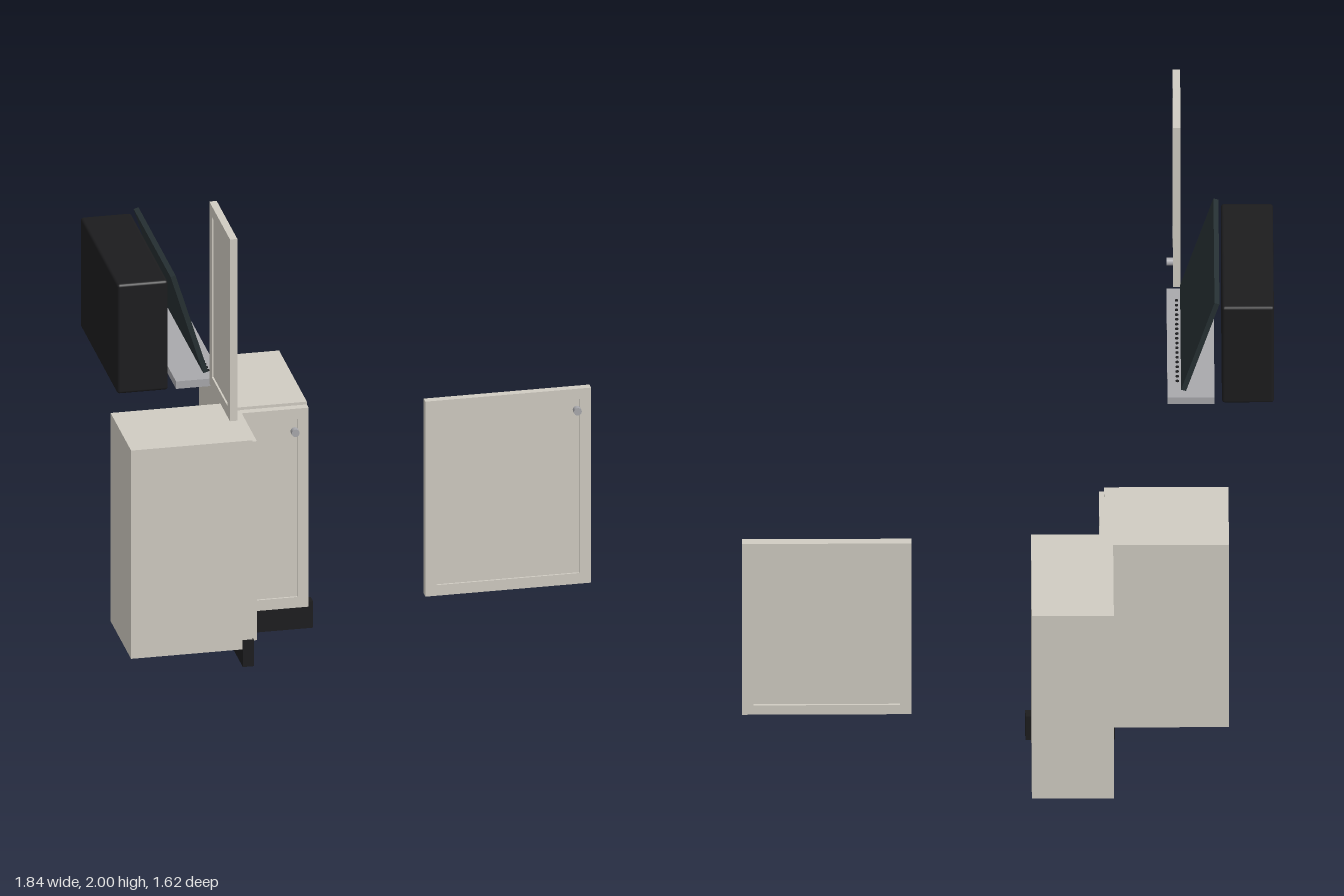
import * as THREE from 'three';
import { RoundedBoxGeometry } from 'three/addons/geometries/RoundedBoxGeometry.js';

const paint = (color) => new THREE.MeshStandardMaterial({ color });
const cream = paint(0xd0ccc2);
const black = paint(0x1c1c1e);
const glass = paint(0x263033);
const steel = paint(0xa8a8ac);

function add(parent, name, geometry, material, x = 0, y = 0, z = 0) {
  const mesh = new THREE.Mesh(geometry, material);
  mesh.name = name;
  mesh.position.set(x, y, z);
  parent.add(mesh);
  return mesh;
}

// Outline in plan [x, z], raised from y0 to y1
function planPrism(points, y0, y1) {
  const shape = new THREE.Shape(points.map(([x, z]) => new THREE.Vector2(x, -z)));
  return new THREE.ExtrudeGeometry(shape, { depth: y1 - y0, bevelEnabled: false })
    .rotateX(-Math.PI / 2).translate(0, y0, 0);
}

// Framed door centred on its origin, facing +z, with a recessed pane and a knob
function makeDoor(name, w, h, t, knobX, knobY) {
  const door = new THREE.Group();
  door.name = name;
  const rail = 0.04;
  const rect = (path, a, b) => path.moveTo(-a, -b).lineTo(a, -b).lineTo(a, b).lineTo(-a, b).closePath();
  const shape = rect(new THREE.Shape(), w / 2, h / 2);
  shape.holes.push(rect(new THREE.Path(), w / 2 - rail, h / 2 - rail));
  const frame = new THREE.ExtrudeGeometry(shape, { depth: t, bevelEnabled: false });
  add(door, 'doorFrame', frame.translate(0, 0, -t / 2), cream);
  add(door, 'doorPane', new THREE.BoxGeometry(w - 2 * rail, h - 2 * rail, t * 0.5), cream);
  const knob = new THREE.CylinderGeometry(0.014, 0.014, 0.022, 16).rotateX(Math.PI / 2);
  add(door, 'knob', knob, steel, knobX, knobY, t / 2 + 0.011);
  return door;
}

function place(parent, door, x, y, z, turn = 0) {
  door.position.set(x, y, z);
  door.rotation.y = turn;
  parent.add(door);
}

export function createModel() {
  const model = new THREE.Group();

  // Corner cabinet: two offset wings meeting at the inner corner
  const cabinet = new THREE.Group();
  cabinet.name = 'cornerCabinet';
  model.add(cabinet);
  add(cabinet, 'cabinetBody', planPrism([
    [-0.364, -0.815], [-0.08, -0.815], [-0.08, -0.357], [-0.335, -0.357],
    [-0.335, -0.066], [-0.765, -0.066], [-0.765, -0.403], [-0.364, -0.403],
  ], 0.065, 0.85), cream);
  add(cabinet, 'toeKick', planPrism([
    [-0.37, -0.385], [-0.06, -0.385], [-0.06, -0.348], [-0.331, -0.348],
    [-0.331, -0.062], [-0.37, -0.062],
  ], 0, 0.1), black);
  place(cabinet, makeDoor('frontDoor', 0.237, 0.75, 0.029, 0.068, 0.292), -0.1985, 0.465, -0.3415);
  place(cabinet, makeDoor('sideDoor', 0.276, 0.75, 0.018, 0.102, 0.292), -0.326, 0.465, -0.216, Math.PI / 2);

  // Separate doors
  place(model, makeDoor('wideDoor', 0.587, 0.735, 0.028, 0.242, 0.29), 0.6265, 0.4575, -0.341);
  place(model, makeDoor('upperDoor', 0.34, 0.685, 0.026, 0.115, -0.2725), -0.59, 1.6575, 0.64, Math.PI / 2);

  // Range hood: shelf with buttons, tilted glass and motor housing
  const hood = new THREE.Group();
  hood.name = 'hood';
  model.add(hood);
  add(hood, 'hoodShelf', new THREE.BoxGeometry(0.163, 0.028, 0.634), steel, -0.635, 1.309, 0.132);
  const button = new THREE.CylinderGeometry(0.006, 0.006, 0.004, 10);
  for (let i = 0; i < 18; i++) {
    add(hood, 'button', button, black, -0.588, 1.324, -0.09 + i * 0.0276);
  }
  const screen = add(hood, 'tiltedGlass', new THREE.BoxGeometry(0.018, 0.39, 0.61), glass, -0.667, 1.53, 0.134);
  screen.rotation.z = Math.atan2(0.115, 0.37);
  add(hood, 'motorHousing', new RoundedBoxGeometry(0.18, 0.412, 0.61, 2, 0.01), black, -0.832, 1.494, 0.132);

  return model;
}
